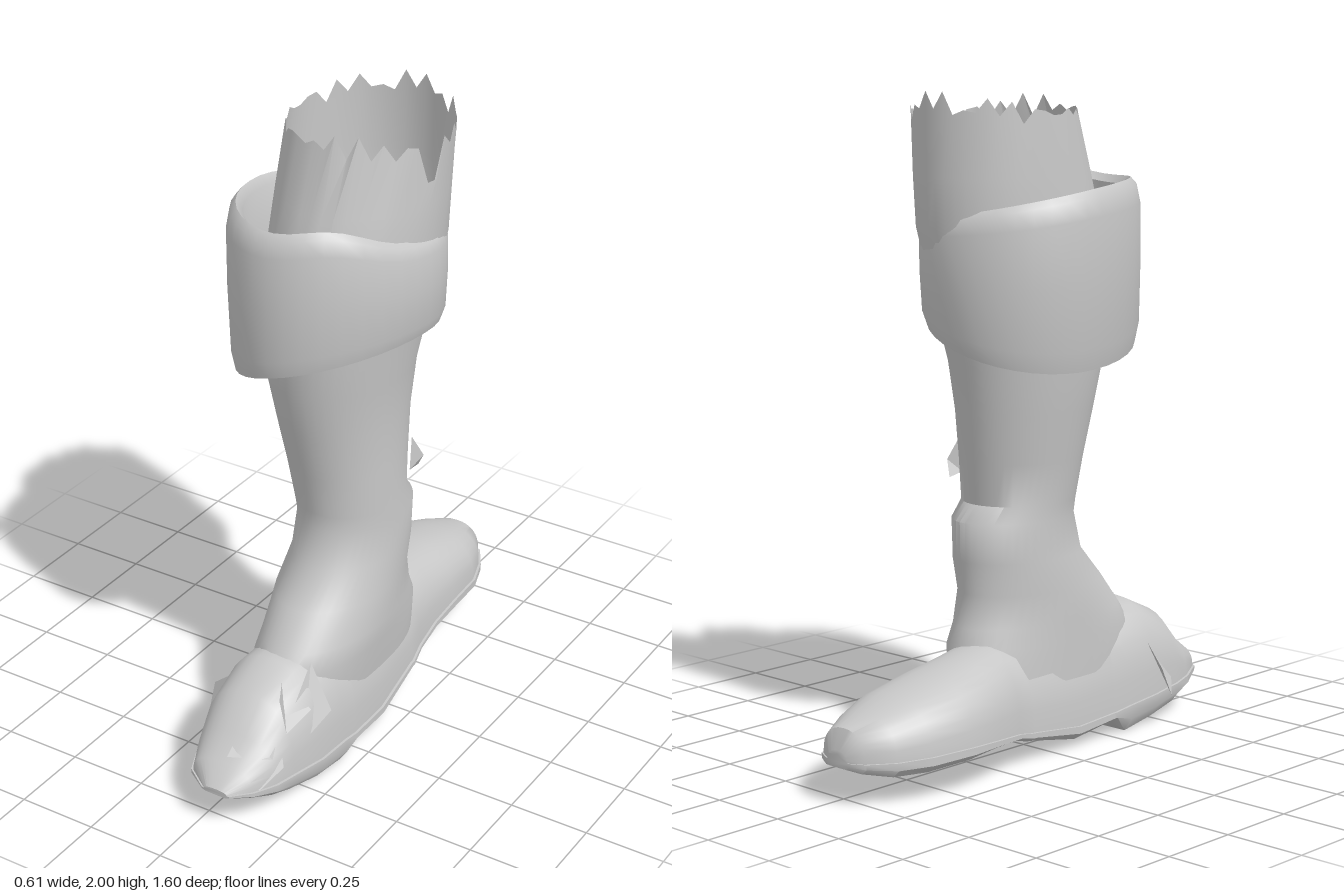
import * as THREE from 'three';
import { toCreasedNormals } from 'three/addons/utils/BufferGeometryUtils.js';

const leather = new THREE.MeshStandardMaterial({ color: 0xc8c8c8, side: THREE.DoubleSide });
leather.name = 'grey leather';

// Skin a list of closed rings (arrays of Vector3); optional fan caps
function loft(rings, { capStart = false, capEnd = false, wrap = false } = {}) {
  const n = rings[0].length, pos = [], idx = [];
  rings.forEach(r => r.forEach(p => pos.push(p.x, p.y, p.z)));
  const last = wrap ? rings.length : rings.length - 1;
  for (let i = 0; i < last; i++) {
    const a = i * n, b = ((i + 1) % rings.length) * n;
    for (let j = 0; j < n; j++) {
      const k = (j + 1) % n;
      idx.push(a + j, b + j, b + k, a + j, b + k, a + k);
    }
  }
  const cap = (i, flip) => {
    const c = rings[i].reduce((s, p) => s.add(p), new THREE.Vector3()).divideScalar(n);
    const m = pos.length / 3;
    pos.push(c.x, c.y, c.z);
    for (let j = 0; j < n; j++) {
      const a = i * n + j, b = i * n + (j + 1) % n;
      idx.push(...(flip ? [m, b, a] : [m, a, b]));
    }
  };
  if (capStart) cap(0, false);
  if (capEnd) cap(rings.length - 1, true);
  const g = new THREE.BufferGeometry();
  g.setAttribute('position', new THREE.Float32BufferAttribute(pos, 3));
  g.setIndex(idx);
  return toCreasedNormals(g, 0.75);
}

function add(group, name, geometry) {
  const m = new THREE.Mesh(geometry, leather);
  m.name = name;
  group.add(m);
}

function seeded(seed) {
  return () => (seed = (seed * 16807) % 2147483647) / 2147483647;
}

const signedPow = (v, e) => Math.sign(v) * Math.abs(v) ** e;

// Horizontal ring from its extents; e below 1 makes it boxier
function oval(y, x0, x1, z0, z1, e = 1, n = 44) {
  return Array.from({ length: n }, (_, i) => {
    const t = -i / n * Math.PI * 2;
    return new THREE.Vector3(
      (x0 + x1) / 2 + (x1 - x0) / 2 * signedPow(Math.cos(t), e), y,
      (z0 + z1) / 2 + (z1 - z0) / 2 * signedPow(Math.sin(t), e));
  });
}

// Hollow leg: y, x extents, z extents, squareness
function shaftGeometry() {
  const rings = [
    [0.22, -0.13, 0.20, -0.24, 0.44, 0.85],
    [0.34, -0.13, 0.215, -0.24, 0.47, 0.9],
    [0.40, -0.13, 0.22, -0.215, 0.43, 1],
    [0.50, -0.13, 0.215, -0.19, 0.34, 1],
    [0.60, -0.12, 0.21, -0.205, 0.245, 1],
    [0.72, -0.115, 0.21, -0.205, 0.212, 1],
    [0.77, -0.118, 0.207, -0.16, 0.212, 1],
    [0.90, -0.14, 0.205, -0.18, 0.23, 1],
    [1.05, -0.165, 0.207, -0.205, 0.26, 1],
    [1.20, -0.19, 0.22, -0.235, 0.29, 1],
    [1.40, -0.205, 0.255, -0.285, 0.31, 1],
    [1.60, -0.205, 0.285, -0.325, 0.285, 1],
    [1.75, -0.20, 0.285, -0.33, 0.24, 1],
    [1.93, -0.19, 0.29, -0.325, 0.18, 1],
  ].map(r => oval(...r));
  // torn rim with a split on the left side
  const rand = seeded(77);
  const rim = rings[rings.length - 1];
  rim.forEach((p, i) => {
    p.y = i % 2 ? 1.90 + rand() * 0.05 : 1.94 + rand() * 0.06;
    if (p.x > 0.2 && Math.abs(p.z + 0.02) < 0.04) p.y = 1.82;
  });
  rim[22].y = 1.93;
  rim[10].y = 2.0;
  return loft(rings);
}

// Turned-down cuff: a double-walled band with slanting edges
function cuffGeometry() {
  const rings = [];
  const n = 36;
  for (let i = 0; i < n; i++) {
    const t = i / n * Math.PI * 2, c = Math.cos(t), s = Math.sin(t);
    const top = 1.685 + 0.04 * s - 0.035 * c + 0.055 * Math.exp(-(((t - 0.95) / 0.5) ** 2));
    const low = 1.275 + 0.085 * c + 0.025 * s;
    // height fraction and inset, round the wall section
    const wall = [[0.02, 0.035], [0, 0.012], [0.12, 0], [0.5, -0.003], [0.85, 0.0],
      [0.96, 0.012], [1, 0.03], [0.95, 0.05], [0.5, 0.035]];
    rings.push(wall.map(([h, d]) => {
      const rz = s > 0 ? 0.40 - 0.02 * h : 0.315 + 0.02 * h;
      const rx = c > 0 ? 0.302 : 0.283 + 0.025 * h;
      return new THREE.Vector3((rx - d) * c, low + (top - low) * h, 0.01 + (rz - d) * s);
    }));
  }
  return loft(rings, { wrap: true });
}

// Foot stations: z, x extents, sole bottom, seam, top, open under the leg
const stations = [
  [-0.80, -0.07, 0.01, 0.115, 0.135, 0.165, 0],
  [-0.775, -0.115, 0.055, 0.105, 0.135, 0.225, 0],
  [-0.70, -0.17, 0.10, 0.09, 0.135, 0.255, 0],
  [-0.60, -0.21, 0.135, 0.09, 0.138, 0.29, 0],
  [-0.45, -0.23, 0.145, 0.097, 0.14, 0.325, 0],
  [-0.32, -0.21, 0.15, 0.10, 0.13, 0.345, 0],
  [-0.20, -0.175, 0.165, 0.09, 0.115, 0.36, 0],
  [-0.13, -0.16, 0.18, 0.07, 0.10, 0.35, 0],
  [-0.12, -0.16, 0.18, 0.07, 0.10, 0.35, 1],
  [0.10, -0.14, 0.205, 0.025, 0.07, 0.36, 1],
  [0.26, -0.14, 0.215, 0.045, 0.08, 0.38, 1],
  [0.27, -0.14, 0.215, 0.045, 0.08, 0.38, 0],
  [0.33, -0.145, 0.215, 0.005, 0.09, 0.39, 0],
  [0.46, -0.14, 0.215, 0.025, 0.10, 0.395, 0],
  [0.58, -0.125, 0.195, 0.047, 0.11, 0.34, 0],
  [0.66, -0.10, 0.18, 0.07, 0.115, 0.25, 0],
  [0.74, -0.06, 0.15, 0.10, 0.125, 0.195, 0],
  [0.80, 0.02, 0.10, 0.12, 0.13, 0.14, 0],
];

function upperGeometry() {
  const n = 16;
  return loft(stations.map(([z, x0, x1, , seam, top, open]) =>
    Array.from({ length: n + 1 }, (_, i) => {
      const t = i / n * Math.PI;
      const floor = open && i > 3 && i < n - 3;
      return new THREE.Vector3((x0 + x1) / 2 + (x1 - x0) / 2 * signedPow(Math.cos(t), 0.85),
        floor ? seam + 0.02 : seam + (top - seam) * Math.sin(t) ** 0.8, z);
    })), { capStart: true, capEnd: true });
}

function soleGeometry() {
  const rim = 0.008;
  return loft(stations.map(([z, x0, x1, low, seam]) => {
    const inset = (x1 - x0) * 0.06;
    return [[x1 + rim, seam], [x0 - rim, seam], [x0 - rim, (low + seam) / 2],
      [x0 + inset, low], [x1 - inset, low], [x1 + rim, (low + seam) / 2]]
      .map(([x, y]) => new THREE.Vector3(x, y, z));
  }), { capStart: true, capEnd: true });
}

// Loose torn scrap made of a fan of corners
function scrap(points) {
  const g = new THREE.BufferGeometry();
  g.setAttribute('position', new THREE.Float32BufferAttribute(points.flat(), 3));
  g.setIndex(points.slice(2).flatMap((_, i) => [0, i + 1, i + 2]));
  const flat = g.toNonIndexed();
  flat.computeVertexNormals();
  return flat;
}

export function createModel() {
  const boot = new THREE.Group();
  boot.name = 'tornBoot';
  add(boot, 'shaft', shaftGeometry());
  add(boot, 'cuff', cuffGeometry());
  add(boot, 'footUpper', upperGeometry());
  add(boot, 'sole', soleGeometry());

  // torn leather round the tapered end of the foot
  const scraps = new THREE.Group();
  scraps.name = 'tornScraps';
  boot.add(scraps);
  [
    [[0.15, 0.40, 0.42], [0.235, 0.27, 0.44], [0.19, 0.19, 0.52], [0.16, 0.27, 0.56]],
    [[0.10, 0.36, 0.50], [0.15, 0.36, 0.59], [0.18, 0.26, 0.60], [0.19, 0.28, 0.48]],
    [[-0.12, 0.27, 0.44], [-0.20, 0.20, 0.42], [-0.19, 0.10, 0.48], [-0.12, 0.14, 0.56]],
    [[0.04, 0.24, 0.64], [0.06, 0.215, 0.735], [0.17, 0.20, 0.66], [0.15, 0.25, 0.60]],
    [[0.16, 0.21, 0.60], [0.195, 0.17, 0.64], [0.16, 0.12, 0.72], [0.14, 0.17, 0.70]],
  ].forEach((p, i) => add(scraps, 'scrap' + (i + 1), scrap(p)));

  // curled sliver on the left side of the leg
  add(scraps, 'legSliver', scrap([[0.2, 0.84, -0.06], [0.20, 0.95, -0.07],
    [0.225, 0.88, -0.10], [0.195, 0.83, -0.12]]));
  return boot;
}
